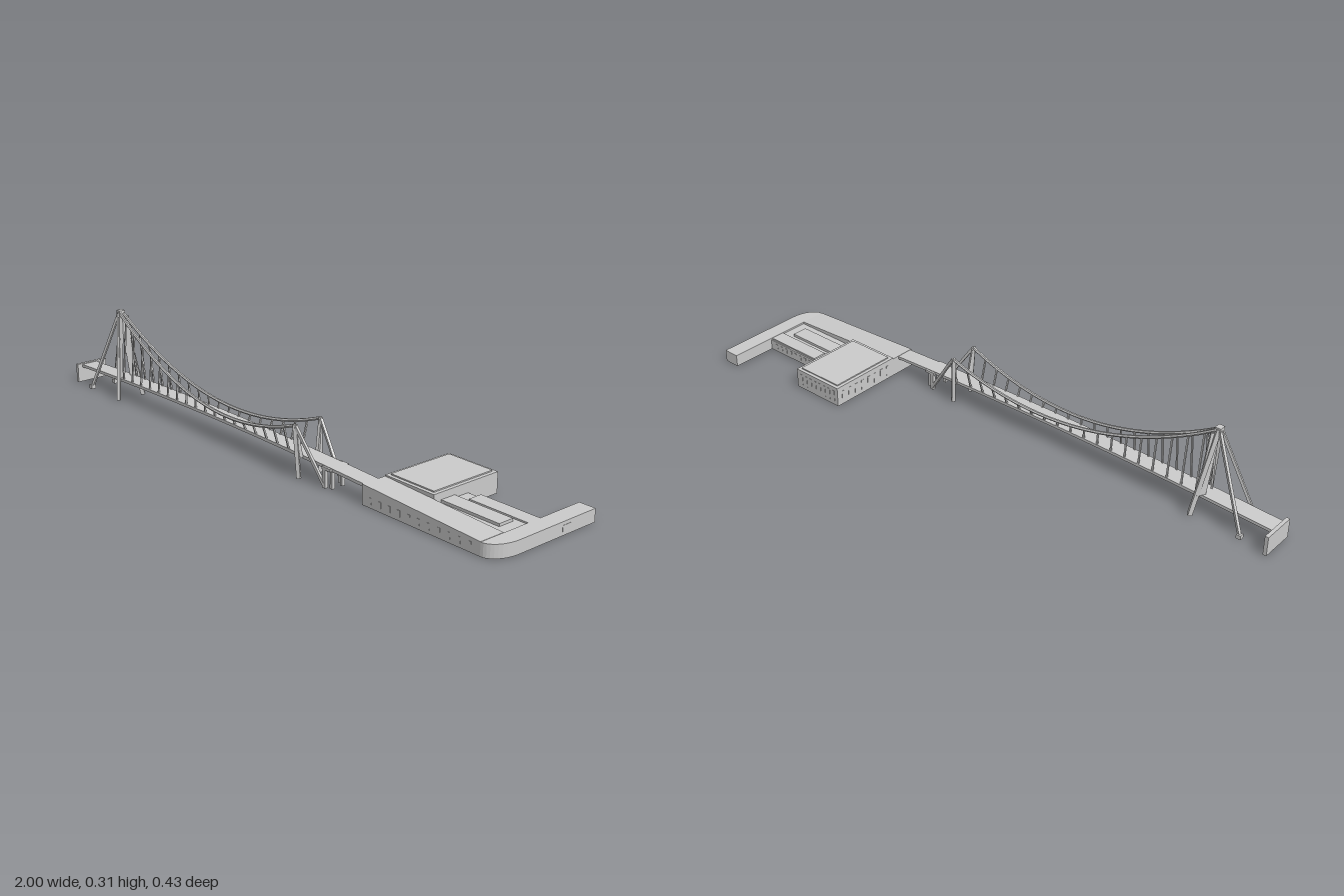
import * as THREE from 'three';

const mat = new THREE.MeshStandardMaterial({ color: 0xcccccc, flatShading: true, side: THREE.DoubleSide });
const ZC = 0.155; // bridge axis

const V = (x, y, z) => new THREE.Vector3(x, y, z);
const deckTop = (x) => 0.078 - 0.028 * ((x + 0.25) / 0.75) ** 2 * 0.55;
const cableY = (x) => 0.1 + 0.53 * (x + 0.15) ** 2;
const cableOff = (x) => THREE.MathUtils.mapLinear(x, -0.77, 0.215, 0.006, 0.05);

export function createModel() {
  const root = new THREE.Group();

  const add = (name, geo, parent = root) => {
    const m = new THREE.Mesh(geo, mat);
    m.name = name;
    parent.add(m);
    return m;
  };
  const group = (name) => {
    const g = new THREE.Group();
    g.name = name;
    root.add(g);
    return g;
  };
  // box from its minimum and maximum corners
  const box = (name, x0, x1, y0, y1, z0, z1, parent) => {
    const m = add(name, new THREE.BoxGeometry(x1 - x0, y1 - y0, z1 - z0), parent);
    m.position.set((x0 + x1) / 2, (y0 + y1) / 2, (z0 + z1) / 2);
    return m;
  };
  // square bar between two points
  const beam = (name, a, b, w, d, parent) => {
    const m = add(name, new THREE.BoxGeometry(w, d, a.distanceTo(b)), parent);
    m.position.copy(a).add(b).multiplyScalar(0.5);
    m.lookAt(b);
    return m;
  };
  // plan outline of [x, z] points raised from y0 to y1
  const slab = (name, pts, y0, y1, parent) => {
    const s = new THREE.Shape(pts.map(([x, z]) => new THREE.Vector2(x, -z)));
    const g = new THREE.ExtrudeGeometry(s, { depth: y1 - y0, bevelEnabled: false });
    g.rotateX(-Math.PI / 2).translate(0, y0, 0);
    return add(name, g, parent);
  };
  // side outline of [x, y] points, extruded from z0 to z1
  const sideProfile = (name, pts, z0, z1, parent) => {
    const s = new THREE.Shape(pts.map(([x, y]) => new THREE.Vector2(x, y)));
    const g = new THREE.ExtrudeGeometry(s, { depth: z1 - z0, bevelEnabled: false });
    return add(name, g.translate(0, 0, z0), parent);
  };

  // arched deck
  const top = [], under = [];
  for (let i = 0; i <= 24; i++) {
    const x = -1 + (i / 24) * 1.5;
    top.push([x, deckTop(x)]);
    under.unshift([x, deckTop(x) - 0.01]);
  }
  sideProfile('deck', [...top, ...under], ZC - 0.03, ZC + 0.03);
  box('abutment', -1, -0.988, 0, 0.066, 0.085, 0.203);

  // tall A-shaped tower, its back stays, the lower split tower and its stays
  const tower = group('mainTower');
  const low = group('lowTower');
  const cables = group('cables');
  box('towerCap', -0.777, -0.757, 0.28, 0.306, ZC - 0.01, ZC + 0.012, tower);
  for (const s of [-1, 1]) {
    beam('towerLeg', V(-0.768, 0.3, ZC + s * 0.006), V(-0.726, 0, ZC + s * 0.051), 0.011, 0.014, tower);
    beam('towerInnerLeg', V(-0.758, 0.285, ZC + s * 0.007), V(-0.745, 0.07, ZC + s * 0.03), 0.006, 0.03, tower);
    beam('backStay', V(-0.77, 0.3, ZC + s * 0.004), V(-0.898, 0.004, ZC + s * 0.048), 0.009, 0.009, tower);
    box('stayFoot', -0.905, -0.889, 0, 0.014, ZC + s * 0.048 - 0.008, ZC + s * 0.048 + 0.008, tower);

    beam('lowTowerLeg', V(0.214, 0.17, ZC + s * 0.05), V(0.224, 0, ZC + s * 0.043), 0.012, 0.012, low);
    beam('lowTowerInnerLeg', V(0.216, 0.165, ZC + s * 0.049), V(0.222, 0.064, ZC + s * 0.032), 0.009, 0.01, low);
    beam('lowTowerStay', V(0.216, 0.168, ZC + s * 0.05), V(0.33, 0.004, ZC + s * 0.033), 0.009, 0.009, low);
    box('pier', 0.322, 0.334, 0, 0.066, ZC + s * 0.031 - 0.006, ZC + s * 0.031 + 0.006, low);
    box('pier', 0.343, 0.353, 0, 0.066, ZC + s * 0.02 - 0.006, ZC + s * 0.02 + 0.006, low);

    // main cable and hangers
    const pts = [];
    for (let i = 0; i <= 16; i++) {
      const x = THREE.MathUtils.lerp(-0.77, 0.215, i / 16);
      pts.push(V(x, cableY(x) - 0.003, ZC + s * cableOff(x)));
    }
    add('mainCable', new THREE.TubeGeometry(new THREE.CatmullRomCurve3(pts), 48, 0.0055, 6), cables);
    for (let i = 0; i < 18; i++) {
      const x = -0.725 + i * 0.052;
      beam('hanger', V(x, cableY(x), ZC + s * cableOff(x)), V(x, deckTop(x) - 0.003, ZC + s * 0.027), 0.005, 0.005, cables);
    }
  }
  box('pierCap', 0.318, 0.356, 0.058, 0.067, ZC - 0.037, ZC + 0.037, low);

  // terminal building: base, sloping promenade, curved wing and hall
  const hall = group('building');
  slab('base', [[0.49, 0.185], [0.945, 0.185], [0.945, -0.055], [0.725, -0.055], [0.725, -0.04],
    [0.685, -0.04], [0.685, -0.165], [0.49, -0.165]], 0, 0.036, hall);
  sideProfile('promenade', [[0.49, 0], [0.942, 0], [0.942, 0.043], [0.49, 0.064]], 0.1, 0.19, hall);
  const wing = [[0.942, -0.215], [0.999, -0.215]];
  for (let i = 0; i <= 10; i++) {
    const a = (i / 10) * Math.PI / 2;
    wing.push([0.942 + 0.057 * Math.cos(a), 0.1 + 0.09 * Math.sin(a)]);
  }
  slab('wing', wing, 0, 0.042, hall);
  box('hall', 0.49, 0.685, 0, 0.068, -0.165, 0.1, hall);
  box('hallRoof', 0.502, 0.673, 0.068, 0.072, -0.153, 0.088, hall);
  box('courtRoof', 0.685, 0.9, 0.034, 0.045, 0.015, 0.07, hall);
  box('rearRoof', 0.725, 0.942, 0.034, 0.041, -0.05, 0, hall);

  // shallow window panels
  for (let i = 0; i < 11; i++) {
    const x = 0.52 + i * 0.038;
    box('frontWindow', x, x + 0.01, 0.012, 0.032, 0.189, 0.1912, hall);
  }
  for (let i = 0; i < 8; i++) {
    const x = 0.505 + i * 0.022;
    box('rearWindow', x, x + 0.009, 0.014, 0.054, -0.1662, -0.164, hall);
    const z = -0.145 + i * 0.03;
    box('sideWindow', 0.4888, 0.491, 0.014, 0.05, z, z + 0.011, hall);
    const c = 0.74 + i * 0.024;
    box('courtWindow', c, c + 0.01, 0.012, 0.028, -0.0562, -0.054, hall);
  }
  box('wingWindow', 0.998, 1, 0.008, 0.031, -0.11, -0.075, hall);

  return root;
}
